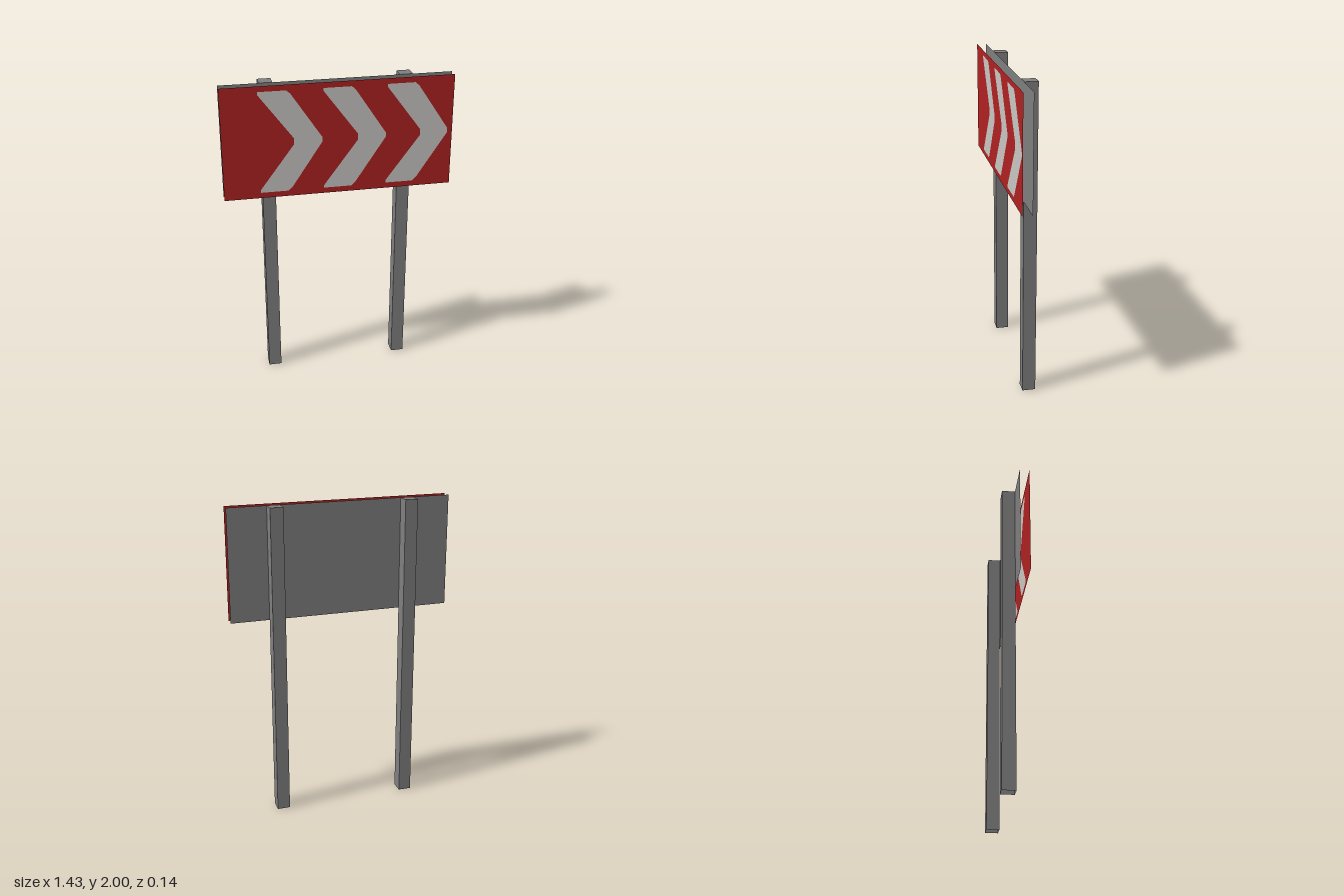
import * as THREE from 'three';

const mat = (name, color) =>
  new THREE.MeshStandardMaterial({ name, color, side: THREE.DoubleSide });

export function createModel() {
  const red = mat('signRed', 0xb02121);
  const white = mat('chevronWhite', 0xcac8c4);
  const grey = mat('postGrey', 0x808080);
  const model = new THREE.Group();
  model.name = 'chevronSign';

  const add = (name, geometry, material, x, y, z) => {
    const mesh = new THREE.Mesh(geometry, material);
    mesh.name = name;
    mesh.position.set(x, y, z);
    model.add(mesh);
  };

  const W = 1.43, bottom = 1.286, top = 2, frontZ = 0.072, backZ = 0.012;

  // Chevron outline with clipped corners, mirrored about its middle height
  const midY = 1.643;
  const upper = [[-0.278, 0.02], [-0.49, 0.305], [-0.49, 0.322], [-0.318, 0.322], [-0.293, 0.3], [-0.103, 0.014]];
  const outline = [...upper, ...upper.map(([x, y]) => [x, -y]).reverse()];
  const chevronPoints = [0, 0.395, 0.787].map((dx) =>
    outline.map(([x, y]) => new THREE.Vector2(x + dx, midY + y)));

  // Front board, cut out where the chevrons sit flush
  const board = new THREE.Shape([
    new THREE.Vector2(-W / 2, bottom), new THREE.Vector2(W / 2, bottom),
    new THREE.Vector2(W / 2, top), new THREE.Vector2(-W / 2, top),
  ]);
  board.holes = chevronPoints.map((p) => new THREE.Path(p));
  add('frontBoard', new THREE.ShapeGeometry(board), red, 0, 0, frontZ);
  chevronPoints.forEach((p, i) =>
    add(`chevron${i + 1}`, new THREE.ShapeGeometry(new THREE.Shape(p)), white, 0, 0, frontZ));

  // Backing sheet
  add('backBoard', new THREE.PlaneGeometry(W, top - bottom), grey, 0, (top + bottom) / 2, backZ);

  // Square posts, open at the foot
  const post = new THREE.BoxGeometry(0.082, 2, 0.083);
  const index = Array.from(post.index.array);
  index.splice(18, 6);
  post.setIndex(index);
  post.clearGroups();
  add('rightPost', post, grey, -0.431, 1, -0.0305);
  add('leftPost', post, grey, 0.427, 1, -0.0305);

  return model;
}
